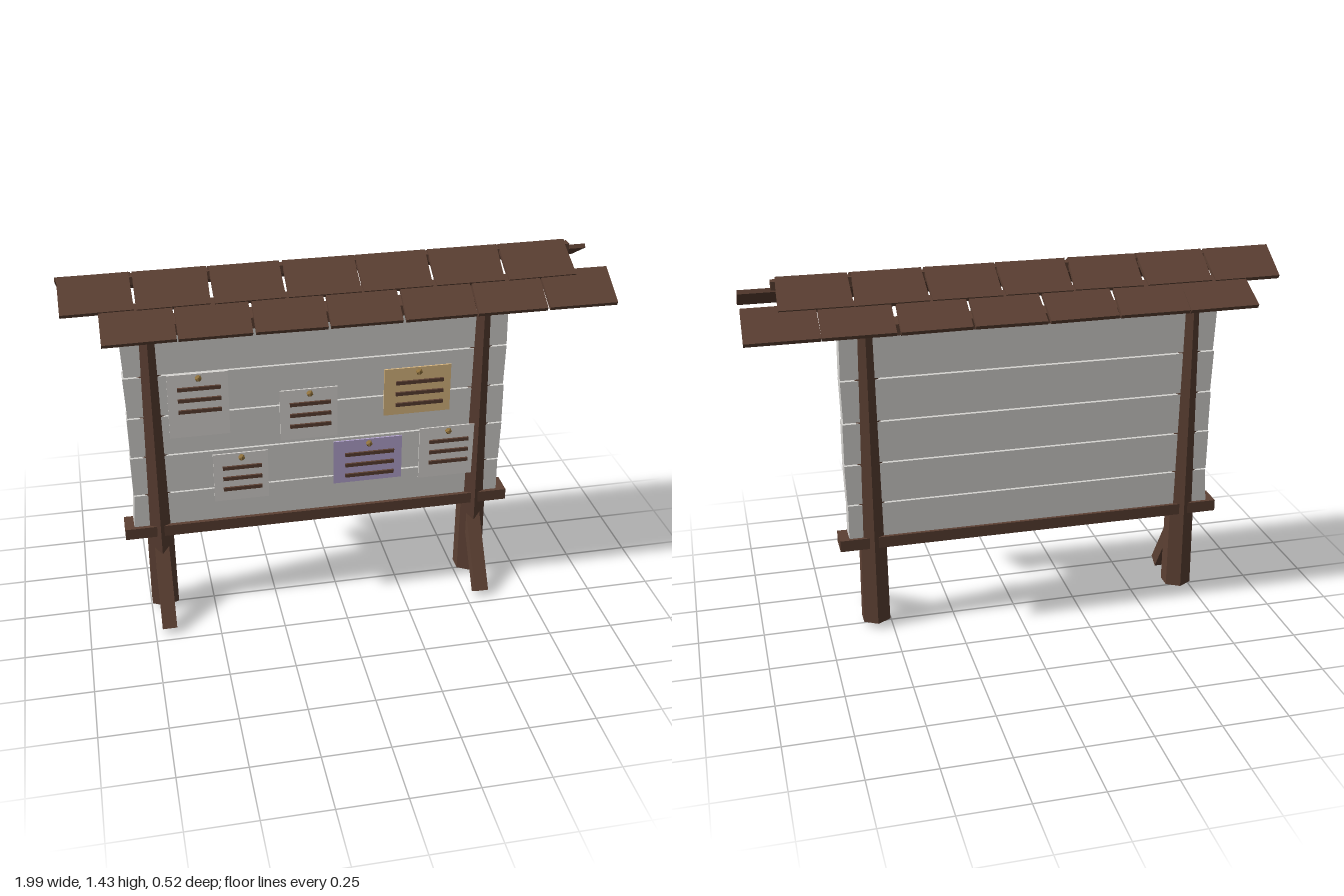
import * as THREE from 'three';

const mat = (name, color) => {
  const m = new THREE.MeshStandardMaterial({ color });
  m.name = name;
  return m;
};

export function createModel() {
  const wood = mat('brown wood', 0x5c4033);
  const board = mat('pale board', 0xd6d4d1);
  const paper = mat('white paper', 0xdcd9d5);
  const tan = mat('tan paper', 0xe0bd84);
  const lilac = mat('lilac paper', 0xb8a8d4);
  const brass = mat('brass pin', 0x94753f);

  const root = new THREE.Group();
  root.name = 'noticeBoard';

  let seed = 7;
  const jitter = (a) => {
    seed = (seed * 16807) % 2147483647;
    return (seed / 2147483647 - 0.5) * 2 * a;
  };
  const add = (name, geo, material, x, y, z, parent = root) => {
    const m = new THREE.Mesh(geo, material);
    m.name = name;
    m.position.set(x, y, z);
    parent.add(m);
    return m;
  };
  const box = (name, w, h, d, material, x, y, z, parent) =>
    add(name, new THREE.BoxGeometry(w, h, d), material, x, y, z, parent);

  // Slightly uneven slab: each end corner is pushed along x by its own amount
  const roughSlab = (w, h, d, axis, amount) => {
    const g = new THREE.BoxGeometry(w, h, d);
    const p = g.attributes.position;
    const shift = [0, 1, 2, 3].map(() => jitter(amount));
    for (let i = 0; i < p.count; i++) {
      const side = axis === 'y' ? p.getY(i) : p.getZ(i);
      p.setX(i, p.getX(i) + shift[(p.getX(i) > 0 ? 2 : 0) + (side > 0 ? 1 : 0)]);
    }
    g.computeVertexNormals();
    return g;
  };

  // Tapered six-sided posts, each with a slanting brace at the front
  for (const x of [-0.695, 0.56]) {
    const postGeo = new THREE.CylinderGeometry(0.049, 0.06, 1.255, 6).toNonIndexed();
    postGeo.computeVertexNormals();
    add('post', postGeo, wood, x, 0.6475, 0);
    const brace = box('brace', 0.055, 0.33, 0.05, wood, x, 0.1505, 0.1035);
    brace.rotation.x = -Math.atan2(0.165, 0.255);
  }

  // Horizontal rails
  box('topRail', 1.52, 0.042, 0.096, wood, -0.07, 1.215, 0.001);
  box('bottomRail', 1.52, 0.045, 0.096, wood, -0.07, 0.368, 0.001);

  // Five planks of the board
  const edges = [0.37, 0.53, 0.695, 0.862, 1.03, 1.2];
  for (let i = 0; i < 5; i++) {
    const h = edges[i + 1] - edges[i] - 0.006;
    add('plank', roughSlab(1.445, h, 0.068, 'y', 0.006), board,
      -0.067, (edges[i] + edges[i + 1]) / 2, 0);
  }

  // Notices: left, right, bottom, top, colour
  const notices = [
    [-0.635, -0.41, 0.77, 1.03, paper],
    [-0.22, 0.0, 0.715, 0.925, paper],
    [0.18, 0.44, 0.78, 0.975, tan],
    [-0.48, -0.27, 0.475, 0.68, paper],
    [-0.015, 0.255, 0.5, 0.685, lilac],
    [0.325, 0.545, 0.485, 0.705, paper],
  ];
  for (const [x0, x1, y0, y1, material] of notices) {
    const g = new THREE.Group();
    g.name = 'notice';
    g.position.set((x0 + x1) / 2, y1, 0);
    root.add(g);
    const w = x1 - x0, h = y1 - y0;
    box('sheet', w, h, 0.006, material, 0, -h / 2, 0.042, g);
    for (let k = 0; k < 3; k++) {
      box('writingLine', w * 0.71, 0.014, 0.008, wood, 0.003, -0.05 - k * 0.046, 0.066, g);
    }
    add('pin', new THREE.IcosahedronGeometry(0.014, 0), brass, 0.003, -0.015, 0.054, g);
  }

  // Gable roof: two courses of seven staggered shingles on each slope
  const pitch = Math.atan(0.575);
  const pitchTile = 0.2665;
  for (const side of [1, -1]) {
    const slope = new THREE.Group();
    slope.name = side > 0 ? 'frontSlope' : 'backSlope';
    slope.position.y = 1.428;
    slope.rotation.x = side * pitch;
    root.add(slope);
    for (let i = 0; i < 7; i++) {
      const upper = add('upperShingle', roughSlab(0.257, 0.016, 0.165, 'z', 0.005), wood,
        -0.996 + pitchTile * (i + 0.5), -0.008, side * 0.0825, slope);
      const lower = add('lowerShingle', roughSlab(0.257, 0.016, 0.165, 'z', 0.005), wood,
        -0.865 + pitchTile * (i + 0.5), -0.013, side * 0.2175, slope);
      upper.rotation.y = jitter(0.01);
      lower.rotation.y = jitter(0.01);
    }
  }
  box('ridgeBeam', 1.72, 0.03, 0.036, wood, 0.02, 1.4, 0);

  return root;
}
